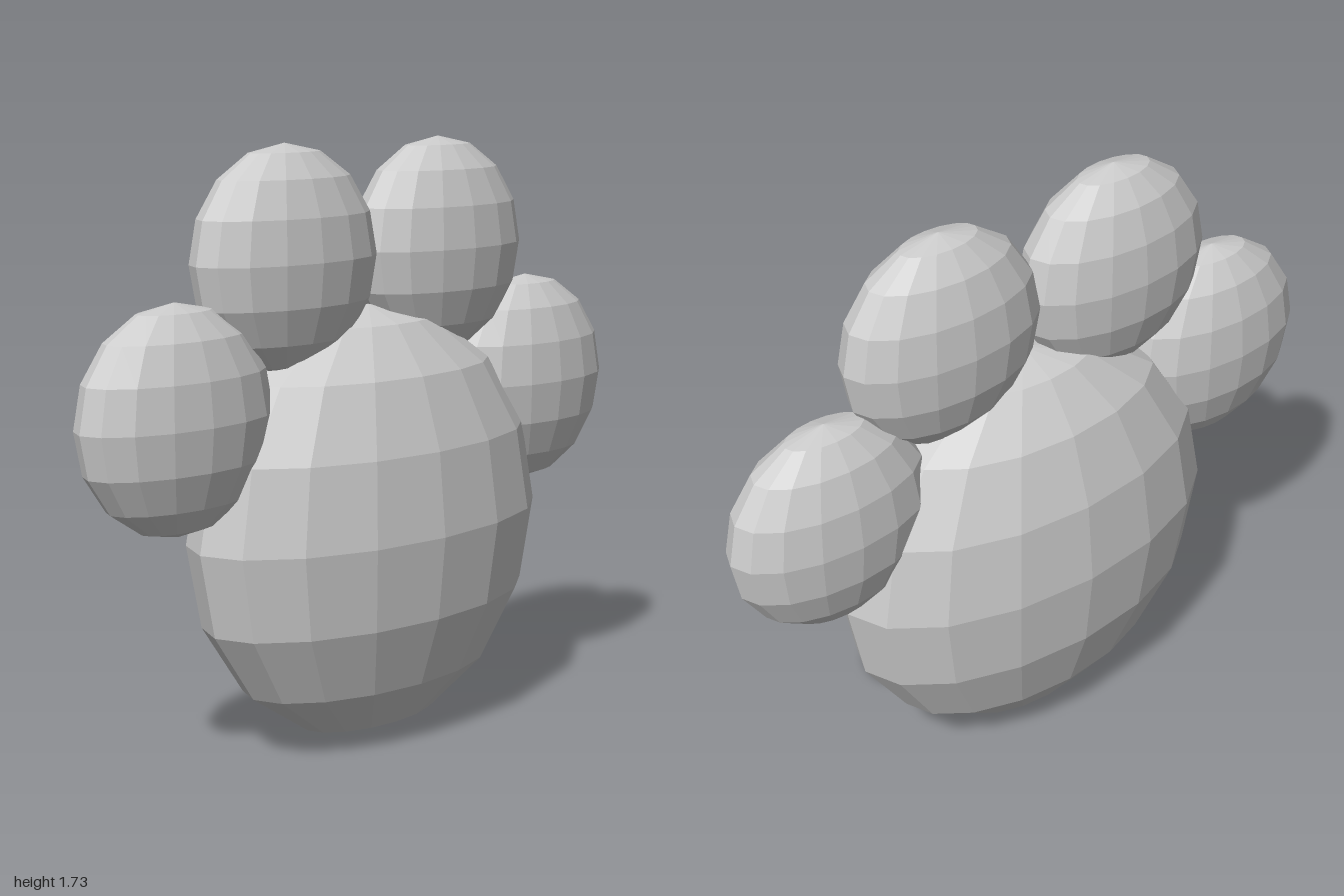
import * as THREE from 'three';

export function createModel() {
  const group = new THREE.Group();
  const material = new THREE.MeshStandardMaterial({ color: 0xcccccc, flatShading: true });

  // Faceted ball, flattened to half its width along x
  function pad(name, radius, y, z) {
    const geometry = new THREE.SphereGeometry(radius, 16, 8);
    geometry.scale(0.495, 1, 1);
    const mesh = new THREE.Mesh(geometry, material);
    mesh.name = name;
    mesh.position.set(0, y, z);
    group.add(mesh);
  }

  // Main pad of the paw
  pad('palmPad', 0.63, 0.63, -0.02);

  // Four toes fanned around the top
  const toes = [
    ['frontOuterToe', 1.01, 0.685],
    ['frontInnerToe', 1.41, 0.295],
    ['backInnerToe', 1.41, -0.3],
    ['backOuterToe', 0.98, -0.685],
  ];
  for (const [name, y, z] of toes) pad(name, 0.315, y, z);

  return group;
}
